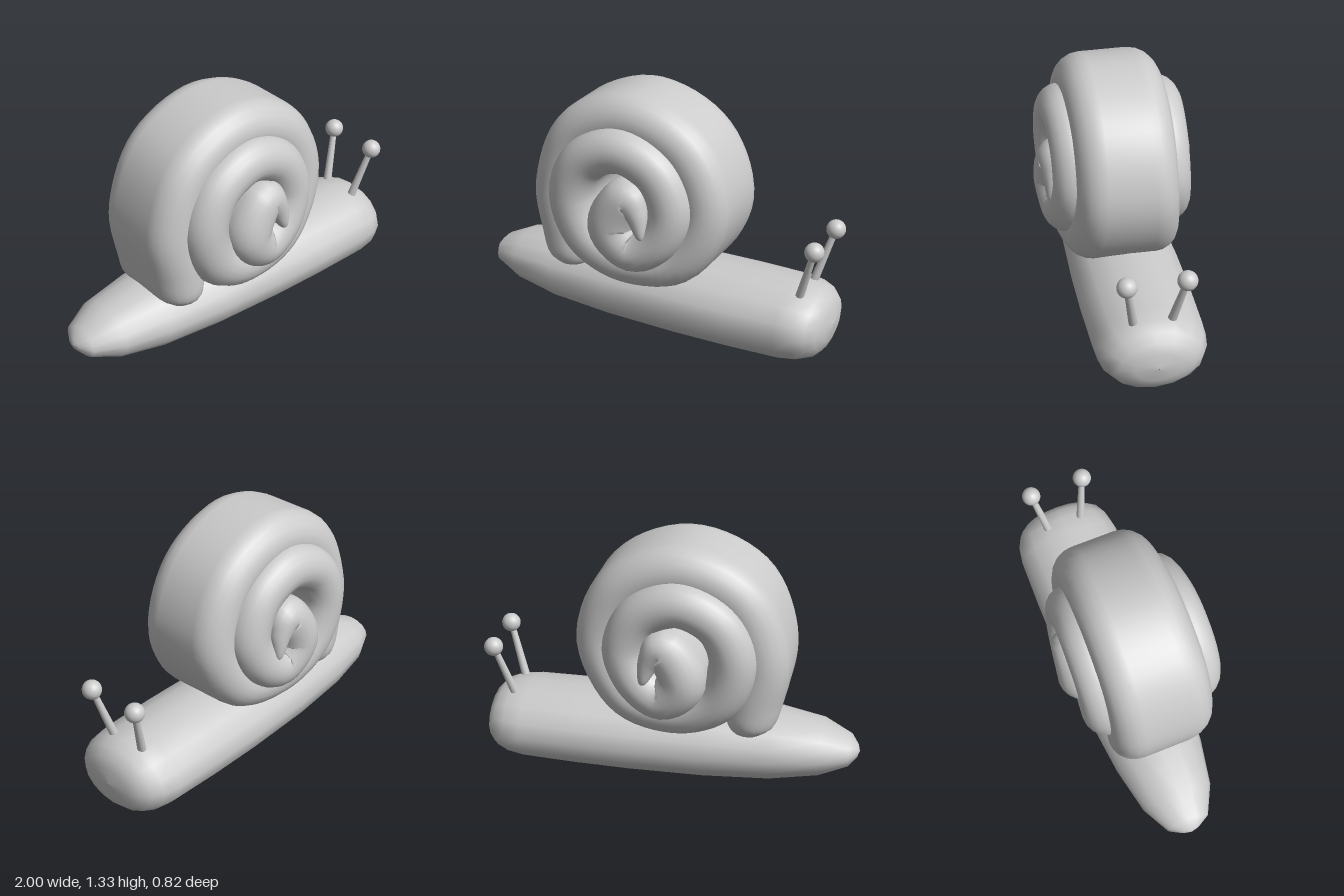
import * as THREE from 'three';

const material = new THREE.MeshStandardMaterial({ color: 0xcccccc });

// Skin a list of closed rings (each an array of Vector3) into one smooth surface.
function loft(rings) {
  const n = rings[0].length;
  const index = [];
  for (let i = 0; i < rings.length - 1; i++) {
    for (let j = 0; j < n; j++) {
      const k = (j + 1) % n;
      const a = i * n + j, b = i * n + k, c = a + n, d = b + n;
      index.push(a, b, c, b, d, c);
    }
  }
  const geometry = new THREE.BufferGeometry().setFromPoints(rings.flat());
  geometry.setIndex(index);
  geometry.computeVertexNormals();
  return geometry;
}

function addMesh(parent, name, geometry) {
  const mesh = new THREE.Mesh(geometry, material);
  mesh.name = name;
  parent.add(mesh);
  return mesh;
}

// Body: 16-sided ellipses along x, tapering to the tail at -x
function bodyGeometry() {
  // x, centre height, half height, half width
  const stations = [
    [-1, 0.215, 0.002, 0.002], [-0.99, 0.215, 0.03, 0.045], [-0.95, 0.215, 0.075, 0.115],
    [-0.8, 0.22, 0.14, 0.193], [-0.55, 0.217, 0.183, 0.243], [-0.2, 0.217, 0.203, 0.278],
    [0.2, 0.217, 0.212, 0.292], [0.5, 0.217, 0.212, 0.293], [0.78, 0.217, 0.207, 0.286],
    [0.87, 0.217, 0.195, 0.27], [0.93, 0.217, 0.172, 0.24], [0.97, 0.217, 0.132, 0.19],
    [0.99, 0.217, 0.08, 0.12], [1, 0.217, 0.002, 0.002],
  ];
  const sides = 16;
  return loft(stations.map(([x, y, ry, rz]) =>
    Array.from({ length: sides }, (_, j) => {
      const a = (j / sides) * Math.PI * 2;
      return new THREE.Vector3(x, y + ry * Math.cos(a), -0.028 + rz * Math.sin(a));
    })));
}

// Shell: a wide stadium section swept along an inward spiral, widening towards the core
function shellGeometry() {
  // x, y of the path, radial half thickness, half width in z
  const path = [
    [-0.435, 0.31, 0.002, 0.14], [-0.435, 0.33, 0.07, 0.21], [-0.435, 0.39, 0.125, 0.26],
    [-0.455, 0.52, 0.145, 0.27], [-0.49, 0.78, 0.14, 0.27], [-0.367, 1.077, 0.14, 0.265],
    [-0.07, 1.2, 0.14, 0.26], [0.23, 1.075, 0.14, 0.255], [0.35, 0.78, 0.135, 0.26],
    [0.21, 0.5, 0.13, 0.29], [-0.06, 0.445, 0.125, 0.325], [-0.28, 0.555, 0.125, 0.355],
    [-0.36, 0.78, 0.125, 0.37], [-0.28, 0.98, 0.12, 0.37], [-0.08, 1.07, 0.12, 0.365],
    [0.115, 0.985, 0.12, 0.355], [0.2, 0.8, 0.12, 0.355], [0.14, 0.63, 0.115, 0.37],
    [0, 0.55, 0.118, 0.39], [-0.11, 0.67, 0.13, 0.41], [-0.02, 0.84, 0.11, 0.4],
    [0.05, 0.78, 0.065, 0.385], [0.085, 0.67, 0.025, 0.37], [0.09, 0.64, 0.002, 0.34],
  ];
  const spline = (pick) => new THREE.CatmullRomCurve3(path.map(pick), false, 'catmullrom', 0.5);
  const centre = spline(([x, y]) => new THREE.Vector3(x, y, -0.005));
  const size = spline(([, , h, w]) => new THREE.Vector3(h, w, 0));
  const steps = 160, arc = 10;
  const rings = [];
  for (let i = 0; i <= steps; i++) {
    const t = i / steps;
    const c = centre.getPoint(t);
    const tangent = centre.getTangent(t);
    const s = size.getPoint(t);
    const h = Math.max(s.x, 0.002);
    const flat = Math.max(s.y - h, 0);
    const ring = [];
    for (const side of [1, -1]) {
      for (let j = 0; j <= arc; j++) {
        const a = (j / arc) * Math.PI + (side < 0 ? Math.PI : 0);
        const u = h * Math.cos(a);
        ring.push(new THREE.Vector3(
          c.x - tangent.y * u, c.y + tangent.x * u, c.z + side * flat + h * Math.sin(a)));
      }
    }
    rings.push(ring);
  }
  // close both ends
  const cap = (ring) => {
    const mid = ring.reduce((m, p) => m.add(p), new THREE.Vector3()).divideScalar(ring.length);
    return ring.map(() => mid.clone());
  };
  return loft([cap(rings[0]), ...rings, cap(rings[steps])]);
}

// Eye stalk with a ball on its tip
function eyeStalk(name, base, tip) {
  const group = new THREE.Group();
  group.name = name;
  const dir = tip.clone().sub(base);
  const stalk = addMesh(group, 'stalk', new THREE.CylinderGeometry(0.016, 0.023, dir.length(), 16));
  stalk.position.copy(base).addScaledVector(dir, 0.5);
  stalk.quaternion.setFromUnitVectors(new THREE.Vector3(0, 1, 0), dir.normalize());
  addMesh(group, 'eye', new THREE.SphereGeometry(0.05, 24, 16)).position.copy(tip);
  return group;
}

export function createModel() {
  const snail = new THREE.Group();
  snail.name = 'snail';
  addMesh(snail, 'body', bodyGeometry());
  addMesh(snail, 'shell', shellGeometry());
  for (const [name, side] of [['rightEyeStalk', 1], ['leftEyeStalk', -1]]) {
    snail.add(eyeStalk(name,
      new THREE.Vector3(0.84, 0.37, -0.026 + side * 0.093),
      new THREE.Vector3(0.932, 0.68, -0.026 + side * 0.147)));
  }
  return snail;
}
